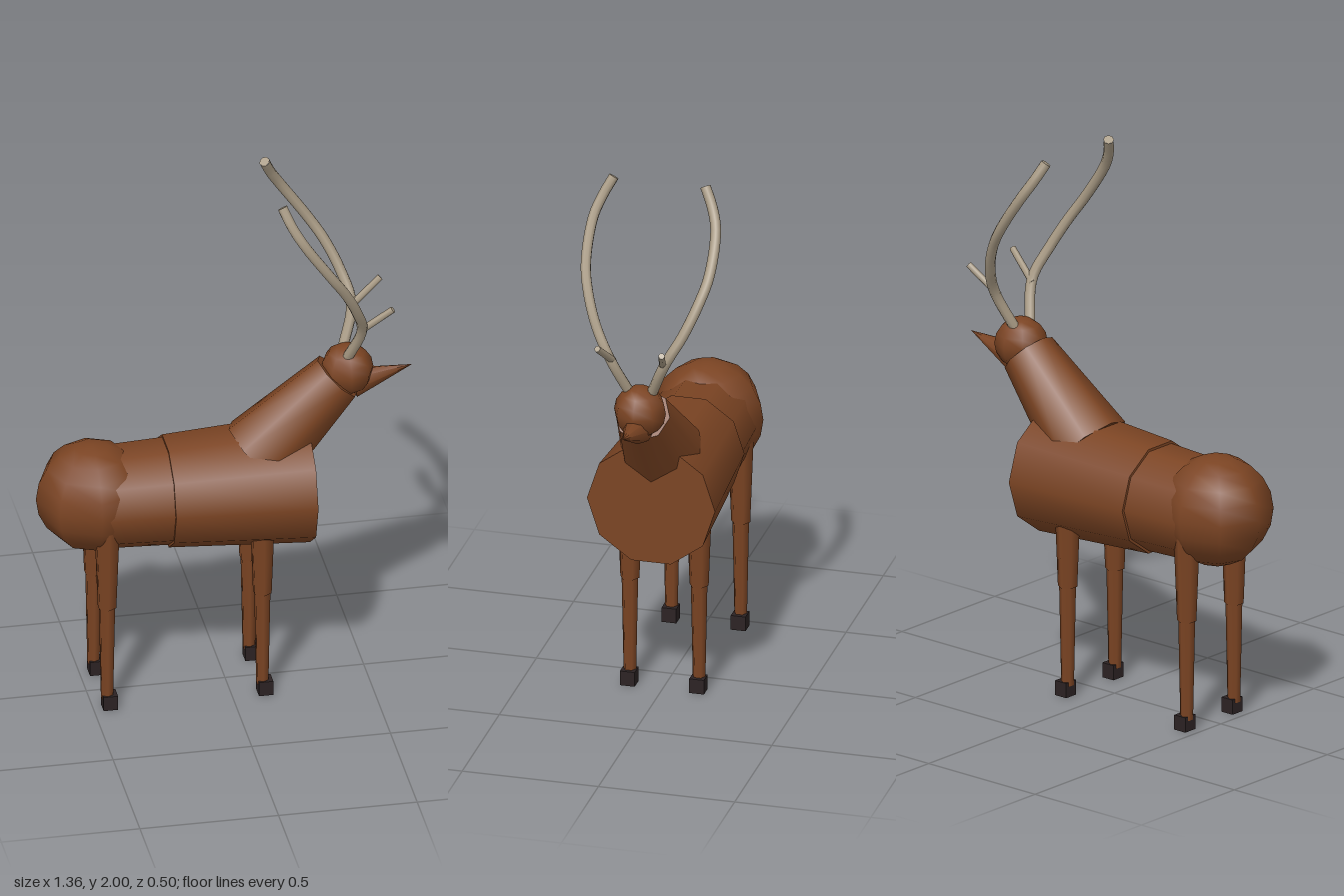
import * as THREE from 'three';

const material = (name, color) => {
  const m = new THREE.MeshStandardMaterial({ color });
  m.name = name;
  return m;
};

export function createModel() {
  const model = new THREE.Group();
  model.name = 'deer';
  const fur = material('brown fur', 0x7b4423);
  const horn = material('antler horn', 0xa89a84);
  const hoofDark = material('dark hoof', 0x2b2223);

  const add = (name, geometry, mat, x = 0, y = 0, z = 0) => {
    const mesh = new THREE.Mesh(geometry, mat);
    mesh.name = name;
    mesh.position.set(x, y, z);
    model.add(mesh);
    return mesh;
  };

  // Tapered cylinder running from point a (radius ra) to point b (radius rb)
  const limb = (name, a, b, ra, rb, sides, mat = fur) => {
    const from = new THREE.Vector3(...a);
    const to = new THREE.Vector3(...b);
    const dir = to.clone().sub(from);
    const mesh = add(name, new THREE.CylinderGeometry(rb, ra, dir.length(), sides), mat);
    mesh.position.copy(from).add(to).multiplyScalar(0.5);
    mesh.quaternion.setFromUnitVectors(new THREE.Vector3(0, 1, 0), dir.normalize());
    return mesh;
  };

  // Body
  limb('chest', [-0.215, 0.785, 0], [0.292, 0.785, 0], 0.205, 0.235, 10);
  limb('waist', [-0.46, 0.785, 0], [-0.2, 0.785, 0], 0.186, 0.196, 10);
  add('rump', new THREE.SphereGeometry(0.202, 8, 10), fur, -0.48, 0.8, 0);

  // Neck, head and snout
  limb('neck', [0.122, 0.902, 0], [0.405, 1.185, 0], 0.154, 0.1, 8);
  add('head', new THREE.SphereGeometry(0.095, 8, 8), fur, 0.44, 1.215, 0);
  limb('snout', [0.46, 1.155, 0], [0.675, 1.206, 0], 0.056, 0, 8);

  for (const side of [1, -1]) {
    const label = side > 0 ? 'left' : 'right';

    // Legs: thick upper part, thinner shin, box hoof
    for (const [end, x] of [['front', 0.11], ['rear', -0.45]]) {
      const z = 0.127 * side;
      const name = `${label} ${end}`;
      limb(`${name} thigh`, [x, 0.41, z], [x, 0.75, z], 0.035, 0.048, 6);
      limb(`${name} shin`, [x, 0.04, z], [x, 0.44, z], 0.023, 0.031, 6);
      add(`${name} hoof`, new THREE.BoxGeometry(0.052, 0.055, 0.054), hoofDark, x + 0.009, 0.0275, z);
    }

    // Antler: curved beam with one forward tine
    const path = new THREE.CatmullRomCurve3([
      [0.43, 1.27, 0.035], [0.475, 1.42, 0.1], [0.445, 1.53, 0.16], [0.395, 1.635, 0.203],
      [0.34, 1.72, 0.226], [0.246, 1.857, 0.225], [0.205, 1.925, 0.202], [0.175, 1.992, 0.168],
    ].map(([x, y, z]) => new THREE.Vector3(x, y, z * side)));
    add(`${label} antler beam`, new THREE.TubeGeometry(path, 32, 0.019, 8), horn);
    const tip = path.getPoint(1);
    const cap = add(`${label} antler tip`, new THREE.CircleGeometry(0.019, 8), horn, tip.x, tip.y, tip.z);
    cap.lookAt(tip.clone().add(path.getTangent(1)));
    limb(`${label} antler tine`, [0.465, 1.41, 0.09 * side], [0.583, 1.505, 0.118 * side], 0.013, 0.012, 6, horn);
  }

  return model;
}
